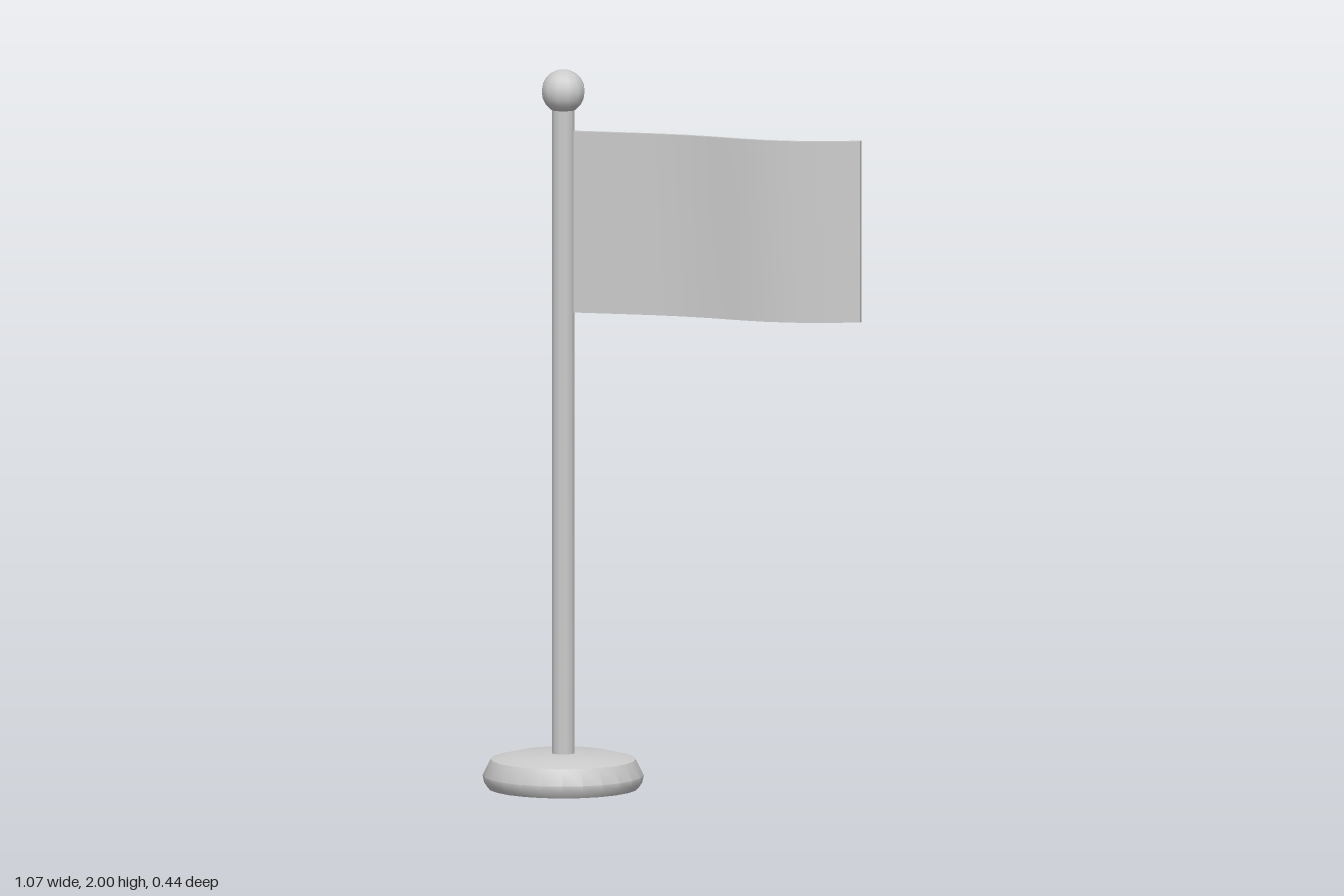
import * as THREE from 'three';
import { toCreasedNormals } from 'three/addons/utils/BufferGeometryUtils.js';

const POLE_X = -0.313;

export function createModel() {
  const model = new THREE.Group();
  model.name = 'flagOnStand';
  const grey = new THREE.MeshStandardMaterial({ color: 0xcccccc });
  grey.name = 'light grey';

  const add = (name, geometry, x, y) => {
    const mesh = new THREE.Mesh(geometry, grey);
    mesh.name = name;
    mesh.position.set(x, y, 0);
    model.add(mesh);
  };

  // Round foot with a bulging rim and a gently raised top
  const profile = [[0, 0], [0.208, 0], [0.218, 0.015], [0.222, 0.035], [0.2, 0.08], [0.14, 0.095], [0, 0.097]]
    .map(([r, y]) => new THREE.Vector2(r, y));
  add('base', toCreasedNormals(new THREE.LatheGeometry(profile, 24), 0.65), POLE_X, 0);

  // Pole and ball finial
  add('pole', new THREE.CylinderGeometry(0.032, 0.032, 1.82, 12), POLE_X, 0.99);
  add('finial', new THREE.SphereGeometry(0.061, 12, 10), POLE_X, 1.939);

  // Waving flag: a thin wavy strip seen from above, extruded upwards
  const wave = [0, -0.004, -0.008, -0.012, -0.01, 0, 0.016, 0.027, 0.021, 0, -0.03];
  const half = 0.006;
  const edge = (offset) => wave.map((z, i) =>
    new THREE.Vector2(POLE_X + (0.53 - POLE_X) * i / (wave.length - 1), -z + offset));
  const strip = new THREE.Shape([...edge(-half), ...edge(half).reverse()]);
  const flag = new THREE.ExtrudeGeometry(strip, { depth: 0.505, bevelEnabled: false });
  flag.rotateX(-Math.PI / 2);
  add('flag', toCreasedNormals(flag, 0.6), 0, 1.325);

  return model;
}
